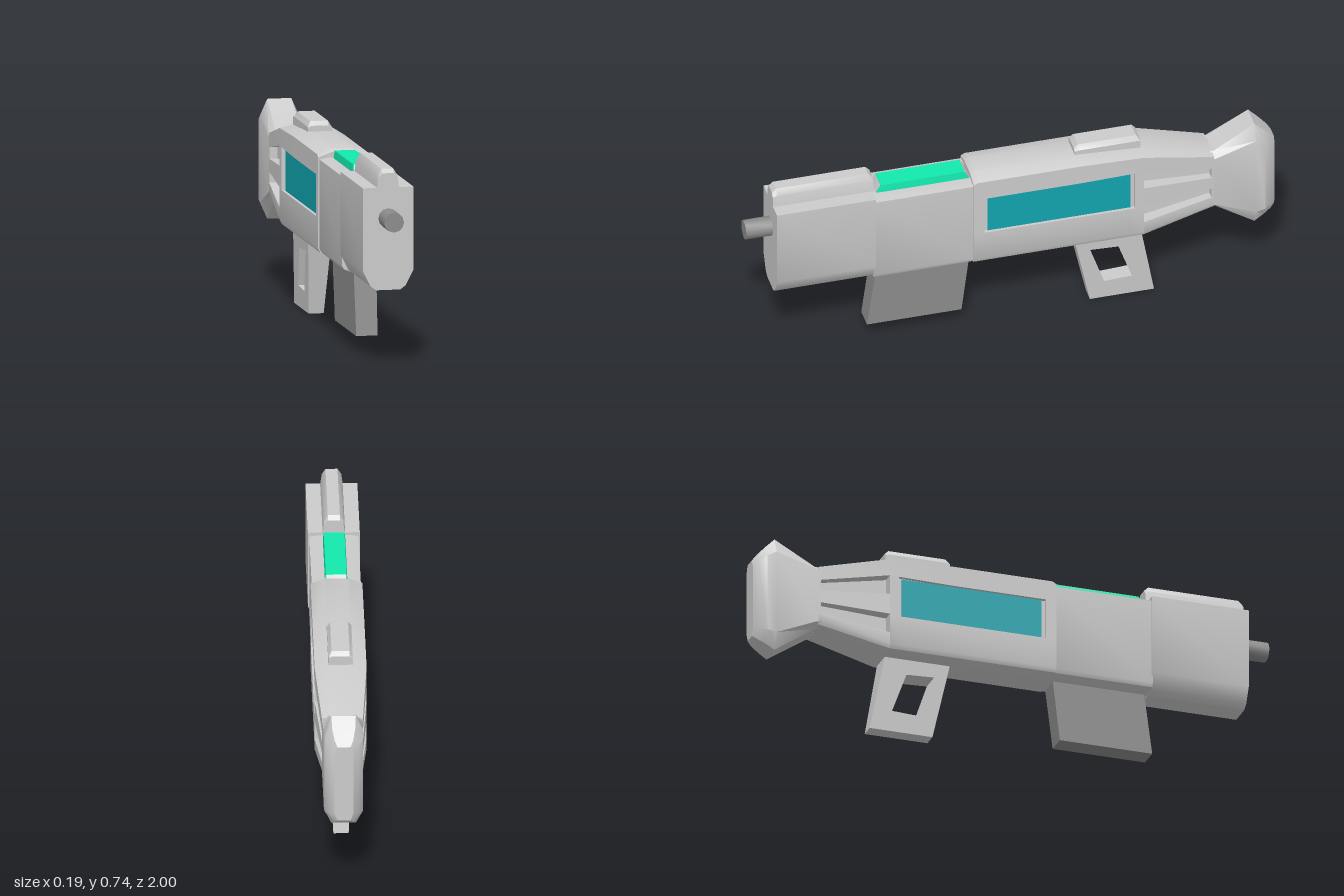
import * as THREE from 'three';
import { toCreasedNormals } from 'three/addons/utils/BufferGeometryUtils.js';

const mat = (color) => new THREE.MeshStandardMaterial({ color, side: THREE.DoubleSide });
const GREY = mat(0xcccccc), DARK = mat(0x8c8c8c), GREEN = mat(0x13e8ae), BLUE = mat(0x12a3ae);

// Closed solid through [z, halfProfile] sections, front to back;
// each half profile runs top to bottom at x > 0 and is mirrored.
function loft(sections) {
  const n = sections[0][1].length * 2, pos = [], idx = [];
  for (const [z, half] of sections) {
    const ring = [...half, ...half.slice().reverse().map(([x, y]) => [-x, y])];
    for (const [x, y] of ring) pos.push(x, y, z);
  }
  const last = (sections.length - 1) * n;
  for (let s = 0; s < last; s += n) {
    for (let i = 0; i < n; i++) {
      const a = s + i, b = s + (i + 1) % n;
      idx.push(a, b, b + n, a, b + n, a + n);
    }
  }
  for (let i = 1; i < n - 1; i++) idx.push(0, i + 1, i, last, last + i, last + i + 1);
  const g = new THREE.BufferGeometry();
  g.setAttribute('position', new THREE.Float32BufferAttribute(pos, 3));
  g.setIndex(idx);
  return g;
}

// Side outline in (z, y), extruded across x
function sidePlate(outline, hole, width) {
  const toV = (pts) => pts.map(([z, y]) => new THREE.Vector2(z, y));
  const shape = new THREE.Shape(toV(outline));
  if (hole) shape.holes.push(new THREE.Path(toV(hole)));
  const g = new THREE.ExtrudeGeometry(shape, { depth: width, bevelEnabled: false });
  return g.translate(0, 0, -width / 2).rotateY(-Math.PI / 2);
}

// Scale x along the height by a rule
function widen(g, rule) {
  const p = g.attributes.position;
  for (let i = 0; i < p.count; i++) p.setX(i, p.getX(i) * rule(p.getY(i)));
  return g;
}

const slab = (w, y0, y1) => [[w, y1], [w, y0]];

export function createModel() {
  const model = new THREE.Group();
  const add = (name, g, m = GREY) => {
    const mesh = new THREE.Mesh(toCreasedNormals(g, 0.55), m);
    mesh.name = name;
    model.add(mesh);
    return mesh;
  };
  const prism = (name, half, z0, z1, m) => add(name, loft([[z0, half], [z1, half]]), m);

  // Barrel and front housing
  const barrel = new THREE.CylinderGeometry(0.037, 0.037, 0.14, 12);
  add('barrel', barrel.rotateX(Math.PI / 2).translate(0, 0.553, 0.93), DARK);
  prism('frontHousing', [[0.095, 0.667], [0.095, 0.36], [0.066, 0.302], [0.045, 0.287]], 0.9, 0.525);
  const railEnd = [[0.022, 0.72], [0.035, 0.705], [0.042, 0.66]];
  const railMid = [[0.022, 0.735], [0.036, 0.713], [0.042, 0.66]];
  add('topRail', loft([[0.9, railEnd], [0.885, railMid], [0.535, railMid], [0.52, railEnd]]));

  // Middle housing with glowing cell on top and magazine below
  prism('middleHousing',
    [[0.06, 0.656], [0.09, 0.65], [0.09, 0.32], [0.083, 0.305], [0.045, 0.29]], 0.53, 0.15);
  const cell = (w, top, d) => loft([
    [0.512 + d, [[w, 0.652], [w + 0.004, 0.648]]], [0.492 + d, [[w, top], [w + 0.004, 0.648]]],
    [0.175 - d, [[w, top], [w + 0.004, 0.648]]], [0.155 - d, [[w, 0.652], [w + 0.004, 0.648]]]]);
  add('energyCell', cell(0.038, 0.685, 0), GREEN);
  add('energyCellEnds', cell(0.035, 0.683, 0.003));
  const magazine = sidePlate([[0.512, 0.3], [0.158, 0.3], [0.187, 0.058], [0.545, 0.058]], null, 0.08);
  add('magazine', widen(magazine, (y) => (y > 0.2 ? 1.06 : 1)), DARK);

  // Receiver: roof, floor, end bulkheads and recessed core
  const roof = (ridge, edge, low, w = 0.095) => [[w * 0.45, ridge], [w, edge], [w, low]];
  const floor = (top, edge, low, w = 0.095) =>
    [[w, top], [w, edge], [w * 0.92, edge - (edge - low) / 2], [w * 0.5, low]];
  add('receiverRoof', loft([
    [0.155, roof(0.677, 0.658, 0.59)], [0.14, roof(0.686, 0.667, 0.59)],
    [-0.25, roof(0.686, 0.667, 0.59)], [-0.49, roof(0.672, 0.66, 0.595)],
    [-0.76, roof(0.606, 0.596, 0.543, 0.075)]]));
  add('receiverFloor', loft([
    [0.155, floor(0.435, 0.32, 0.288)], [-0.44, floor(0.435, 0.32, 0.288)],
    [-0.49, floor(0.435, 0.32, 0.288)]]));
  prism('frontBulkhead', slab(0.095, 0.43, 0.6), 0.155, 0.115);
  prism('rearBulkhead', slab(0.095, 0.43, 0.6), -0.455, -0.49);
  prism('receiverCore', slab(0.08, 0.42, 0.61), 0.13, -0.47);
  for (const s of [1, -1]) {
    const panel = new THREE.BoxGeometry(0.008, 0.155, 0.54).translate(s * 0.08, 0.5125, -0.17);
    add(s > 0 ? 'leftPanel' : 'rightPanel', panel, BLUE);
  }

  // Slotted stock: lower and middle spars over a narrower core
  add('stockLowerSpar', loft([
    [-0.49, floor(0.365, 0.32, 0.288)], [-0.76, floor(0.415, 0.38, 0.355, 0.075)]]));
  add('stockMiddleSpar', loft([[-0.49, slab(0.095, 0.44, 0.52)], [-0.76, slab(0.075, 0.455, 0.502)]]));
  add('stockCore', loft([[-0.48, slab(0.05, 0.34, 0.62)], [-0.765, slab(0.045, 0.39, 0.57)]]));

  // Flared shoulder pad
  const pad = (top, bottom, w, topW, c) =>
    [[topW, top], [w, top - c], [w, bottom + c], [topW, bottom]];
  add('shoulderPad', loft([
    [-0.75, pad(0.606, 0.356, 0.075, 0.05, 0.02)], [-0.765, pad(0.606, 0.356, 0.075, 0.05, 0.02)],
    [-0.92, pad(0.695, 0.25, 0.072, 0.045, 0.06)], [-0.955, pad(0.66, 0.272, 0.07, 0.042, 0.045)],
    [-0.985, pad(0.628, 0.29, 0.052, 0.034, 0.035)], [-1, pad(0.608, 0.303, 0.035, 0.024, 0.03)]]));

  // Rear sight block
  const sightEnd = [[0.033, 0.707], [0.045, 0.7], [0.045, 0.655]];
  const sightMid = [[0.033, 0.722], [0.045, 0.703], [0.045, 0.655]];
  add('rearSight', loft([[-0.24, sightEnd], [-0.255, sightMid], [-0.475, sightMid], [-0.49, sightEnd]]));

  // Open loop grip, narrowing downward
  const grip = sidePlate(
    [[-0.238, 0.3], [-0.49, 0.3], [-0.545, 0], [-0.302, 0]],
    [[-0.3, 0.235], [-0.355, 0.075], [-0.46, 0.08], [-0.407, 0.23]], 0.056);
  add('grip', widen(grip, (y) => 1 + 2 * y));

  return model;
}
